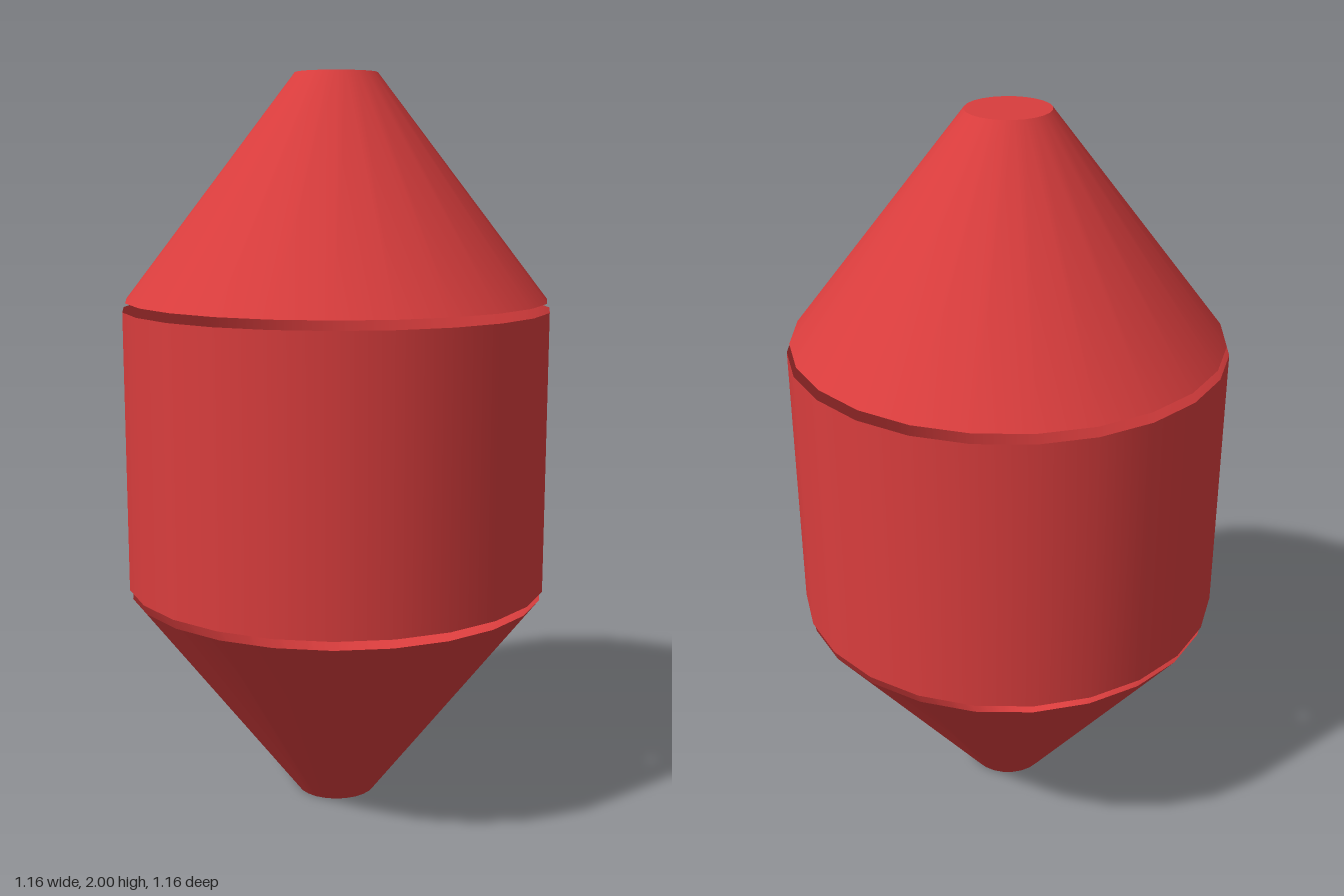
import * as THREE from 'three';

const SIDES = 24;
const TIP_R = 0.11, CONE_R = 0.572, BODY_R = 0.58, CONE_H = 0.597;

export function createModel() {
  const model = new THREE.Group();
  const red = new THREE.MeshStandardMaterial({ color: 0xd93d3d, side: THREE.DoubleSide });

  function add(parent, name, geometry, y) {
    const mesh = new THREE.Mesh(geometry, red);
    mesh.name = name;
    mesh.position.y = y;
    parent.add(mesh);
    return mesh;
  }

  // Open tube in the middle, with a narrow gap to each cone
  add(model, 'middleBody', new THREE.CylinderGeometry(BODY_R, BODY_R, 0.757, SIDES, 1, true), 1.001);

  // Hollow cone, open at its wide end and closed by a disc at its narrow tip
  function cone(name, up) {
    const group = new THREE.Group();
    group.name = name;
    const wall = new THREE.CylinderGeometry(
      up ? TIP_R : CONE_R, up ? CONE_R : TIP_R, CONE_H, SIDES, 1, true);
    const cap = new THREE.CircleGeometry(TIP_R, SIDES).rotateX(up ? -Math.PI / 2 : Math.PI / 2);

    // The upper tip sits very slightly off the axis
    if (up) {
      const p = wall.attributes.position;
      for (let i = 0; i < p.count; i++) {
        if (p.getY(i) > 0) p.setXYZ(i, p.getX(i) + 0.004, p.getY(i), p.getZ(i) + 0.004);
      }
      cap.translate(0.004, 0, 0.004);
    }
    add(group, name + 'Wall', wall, up ? 2 - CONE_H / 2 : CONE_H / 2);
    add(group, name + 'TipCap', cap, up ? 2 : 0);
    model.add(group);
  }
  cone('topCone', true);
  cone('bottomCone', false);

  return model;
}
